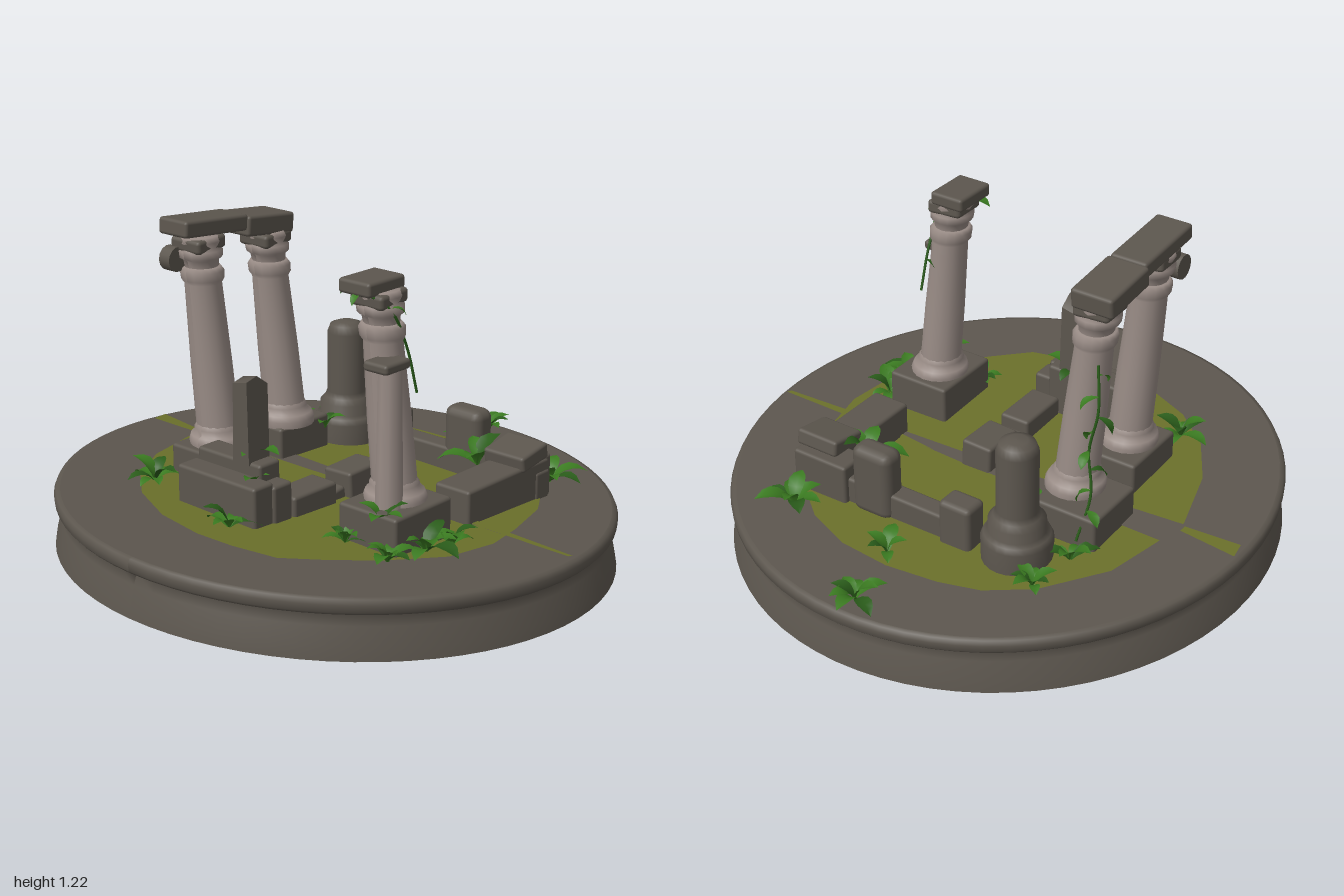
import * as THREE from 'three';
import { RoundedBoxGeometry } from 'three/addons/geometries/RoundedBoxGeometry.js';

const mat = (name, color, side = THREE.FrontSide) => {
  const m = new THREE.MeshStandardMaterial({ color, side });
  m.name = name;
  return m;
};

// height of the tilted ground at a point
const ground = (x, z) => 0.26 + 0.042 * z - 0.022 * x;

export function createModel() {
  const root = new THREE.Group();
  root.name = 'ruins';
  const stone = mat('weathered stone', 0x5c564e);
  const pale = mat('pale column stone', 0x988b85);
  const grass = mat('grass', 0x6a702a);
  const leafMat = mat('leaf green', 0x3a7a20, THREE.DoubleSide);
  const darkLeaf = mat('dark leaf green', 0x2a5c1a, THREE.DoubleSide);

  const add = (name, geo, material, parent = root) => {
    const m = new THREE.Mesh(geo, material);
    m.name = name;
    parent.add(m);
    return m;
  };

  // moves every vertex by a rule
  const bend = (geo, rule) => {
    const p = geo.attributes.position;
    const v = new THREE.Vector3();
    for (let i = 0; i < p.count; i++) {
      rule(v.fromBufferAttribute(p, i));
      p.setXYZ(i, v.x, v.y, v.z);
    }
    geo.computeVertexNormals();
    return geo;
  };
  const tilt = (g) => bend(g, (v) => { v.y += 0.042 * v.z - 0.022 * v.x; });
  const lathe = (pts, seg) =>
    new THREE.LatheGeometry(pts.map(([r, y]) => new THREE.Vector2(r, y)), seg);

  // softly worn block given by its extents
  const block = (name, [x0, x1], [y0, y1], [z0, z1], rot = [0, 0, 0], r = 0.012) => {
    const m = add(name, new RoundedBoxGeometry(x1 - x0, y1 - y0, z1 - z0, 2, r), stone);
    m.position.set((x0 + x1) / 2, (y0 + y1) / 2, (z0 + z1) / 2);
    m.rotation.set(...rot);
    return m;
  };

  // round platform: moulded side, top and grassy underside
  add('platformSide', tilt(lathe([[1, 0.05], [0.993, 0.09], [0.975, 0.16], [0.962, 0.198],
    [0.985, 0.204], [0.995, 0.215], [0.998, 0.24], [0.99, 0.257], [0.975, 0.26]], 72)), stone);
  add('platformTop', tilt(new THREE.CircleGeometry(0.976, 72).rotateX(-Math.PI / 2).translate(0, 0.26, 0)), stone);
  add('platformUnderside', tilt(new THREE.CircleGeometry(1, 72).rotateX(Math.PI / 2).translate(0, 0.05, 0)), grass);

  // flat ground patches, points given as x, z
  const patch = (name, pts, lift, material) => {
    const shape = new THREE.Shape(pts.map(([x, z]) => new THREE.Vector2(x, -z)));
    const g = new THREE.ShapeGeometry(shape).rotateX(-Math.PI / 2).translate(0, 0.26 + lift, 0);
    add(name, tilt(g), material);
  };
  patch('grassField', [[-0.71, -0.14], [-0.66, -0.35], [-0.5, -0.56], [-0.35, -0.66], [-0.2, -0.7], [0, -0.72],
    [0.2, -0.7], [0.38, -0.63], [0.53, -0.51], [0.63, -0.35], [0.69, -0.14], [0.72, 0.02], [0.69, 0.22],
    [0.57, 0.4], [0.45, 0.53], [0.32, 0.645], [0.15, 0.68], [0, 0.69], [-0.2, 0.66], [-0.4, 0.57], [-0.55, 0.44],
    [-0.66, 0.26], [-0.735, 0]], 0.003, grass);
  patch('stonePath', [[-0.74, -0.13], [-0.4, -0.12], [0.1, -0.11], [0.7, -0.07], [0.69, -0.06],
    [0.1, -0.05], [-0.4, -0.03], [-0.75, -0.01]], 0.006, stone);
  patch('leftCrack', [[-0.97, -0.075], [-0.65, -0.035], [-0.7, -0.02], [-0.96, -0.01]], 0.006, grass);
  patch('rightCrack', [[0.25, -0.1], [0.97, -0.08], [0.96, -0.065], [0.6, -0.055]], 0.008, grass);

  // leaning column from a point at its foot to a point at its top
  const column = (name, x, z, dx, dz, top) => {
    const g = new THREE.Group();
    g.name = name;
    root.add(g);
    const h = top - 0.38;
    const lean = (geo) => bend(geo, (v) => {
      const t = v.y / h;
      v.x += x + dx * t;
      v.z += z + dz * t;
      v.y += 0.38;
    });
    add('foot', lean(lathe([[0.105, 0], [0.108, 0.025], [0.1, 0.045], [0.085, 0.05], [0.085, 0.07], [0.076, 0.085]], 20)), pale, g);
    add('shaft', lean(lathe([[0.077, 0.08], [0.074, h * 0.4], [0.066, h - 0.17], [0.076, h - 0.155],
      [0.078, h - 0.125], [0.068, h - 0.11], [0.001, h - 0.108]], 16)), pale, g);
    add('neck', lean(lathe([[0.06, h - 0.115], [0.064, h - 0.085], [0.078, h - 0.075], [0.08, h - 0.05], [0.066, h - 0.04],
      [0.076, h - 0.02], [0.07, h], [0.001, h]], 16)), pale, g);
    const cap = add('capital', new RoundedBoxGeometry(0.135, 0.05, 0.145, 2, 0.014), stone, g);
    cap.position.set(x + dx, top - 0.025, z + dz);
    cap.rotation.set(0.05, 0.06, -0.04);
    return g;
  };
  column('leftFrontColumn', -0.385, 0.2, -0.055, 0.03, 1.15);
  column('leftBackColumn', -0.38, -0.14, -0.055, 0.04, 1.11);
  column('rightColumn', 0.445, 0.2, -0.055, 0.03, 1.11);

  // column plinths
  block('leftFrontPlinth', [-0.5, -0.3], [0.25, 0.39], [0.05, 0.33]);
  block('leftBackPlinth', [-0.56, -0.31], [0.25, 0.385], [-0.3, -0.04]);
  block('rightPlinth', [0.33, 0.58], [0.24, 0.395], [0.07, 0.36]);
  block('rightColumnCap', [0.3, 0.435], [1.1, 1.15], [0.15, 0.33]);

  // lintel in two pieces across the left columns
  block('lintelFront', [-0.52, -0.38], [1.15, 1.21], [0.04, 0.345], [-0.08, 0, 0]);
  block('lintelBack', [-0.53, -0.37], [1.105, 1.18], [-0.185, 0.05], [-0.1, 0, 0]);
  const scroll = add('scroll', new THREE.CylinderGeometry(0.045, 0.045, 0.05, 14).rotateZ(Math.PI / 2), stone);
  scroll.position.set(-0.49, 1.07, 0.305);

  // broken half column beside the right column
  const half = add('brokenColumn', new THREE.CylinderGeometry(0.04, 0.048, 0.48, 10), pale);
  half.position.set(0.478, 0.63, 0.275);
  block('brokenColumnCap', [0.42, 0.522], [0.865, 0.9], [0.22, 0.345]);

  // round back pillar with a wide foot
  const pillar = add('backPillar', lathe([[0.123, 0.23], [0.125, 0.33], [0.115, 0.35], [0.1, 0.36], [0.1, 0.4], [0.082, 0.42],
    [0.073, 0.44], [0.073, 0.67], [0.062, 0.7], [0.035, 0.71], [0.001, 0.712]], 24), stone);
  pillar.position.set(-0.34, 0, -0.435);

  // remains of the back wall
  block('backWall', [-0.19, 0.57], [0.22, 0.33], [-0.5, -0.42]);
  block('backWallEnd', [-0.2, -0.07], [0.22, 0.41], [-0.52, -0.42], [0, 0, 0], 0.02);
  block('backWallTall', [0.14, 0.305], [0.22, 0.49], [-0.52, -0.42], [0, 0, 0], 0.035);

  // fallen blocks
  block('rightLowWall', [0.415, 0.565], [0.22, 0.37], [-0.5, -0.04]);
  block('rightSlab', [0.4, 0.575], [0.365, 0.425], [-0.48, -0.33], [0.17, 0, 0]);
  block('rightCornerBlock', [0.33, 0.56], [0.22, 0.38], [-0.52, -0.4]);
  block('frontBlock', [-0.265, 0.105], [0.25, 0.425], [0.43, 0.525]);
  block('frontBlockBack', [-0.25, 0.05], [0.25, 0.47], [0.34, 0.44]);
  block('frontBlockEnd', [0.04, 0.115], [0.25, 0.41], [0.35, 0.44]);
  block('centreBlock', [0, 0.125], [0.23, 0.355], [-0.11, 0.065], [0.03, 0, 0.03]);
  block('centreWedge', [0, 0.1], [0.23, 0.3], [0.06, 0.15], [0.15, 0, 0]);
  block('centreFrontBlock', [0, 0.12], [0.24, 0.345], [0.13, 0.345]);

  // jagged upright shard on the front block
  const shard = new THREE.BoxGeometry(0.07, 0.3, 0.1, 1, 3, 2);
  bend(shard, (v) => {
    if (v.y > 0.14) v.y += v.z * 0.25 - Math.abs(v.z) * 0.5 + v.x * 0.2;
    v.x *= 1 - v.y * 0.6;
  });
  add('shard', shard.toNonIndexed(), stone).position.set(-0.035, 0.61, 0.395);

  // leaf: a plane pinched to a point, folded and drooping along its length
  const leafGeo = bend(new THREE.PlaneGeometry(1, 1, 2, 5).rotateX(Math.PI / 2).translate(0, 0, 0.5), (v) => {
    const t = v.z;
    v.x *= 0.48 * Math.pow(Math.sin(Math.PI * Math.min(1, 0.04 + 0.96 * Math.pow(t, 1.2))), 0.8);
    v.y = 0.95 * t - 0.85 * t * t + Math.abs(v.x) * 0.3;
  });
  let seed = 7;
  const rnd = () => (seed = (seed * 16807) % 2147483647) / 2147483647;
  const leaf = (parent, x, y, z, size, yaw, pitch, i) => {
    const m = add('leaf', leafGeo, i % 3 === 2 ? darkLeaf : leafMat, parent);
    m.position.set(x, y, z);
    m.rotation.set(pitch, yaw, 0, 'YXZ');
    m.scale.setScalar(size);
  };
  const plant = (x, z, size, count, y = ground(x, z)) => {
    const g = new THREE.Group();
    g.name = 'plant';
    root.add(g);
    for (let i = 0; i < count; i++) {
      leaf(g, x, y, z, size * (0.75 + 0.4 * rnd()), (i / count) * Math.PI * 2 + rnd() * 0.5, 0.1 - 0.75 * rnd(), i);
    }
  };
  [[-0.02, -0.91, 0.11, 8], [0.04, -0.66, 0.1, 5], [0.49, -0.61, 0.13, 8], [-0.48, -0.55, 0.09, 7],
    [-0.51, -0.37, 0.1, 6], [-0.46, 0.45, 0.11, 9], [0.03, 0.57, 0.11, 6], [0.58, 0.4, 0.1, 8],
    [0.61, 0.24, 0.13, 10], [0.63, 0.13, 0.11, 7], [0.38, 0.38, 0.1, 7],
    [-0.04, 0.37, 0.1, 4, 0.46], [0.02, 0.44, 0.08, 4, 0.39], [0.36, -0.35, 0.13, 5, 0.33],
    [-0.31, -0.28, 0.09, 4, 0.33], [0.5, 0.34, 0.1, 5, 0.36]].forEach((p) => plant(...p));

  // hanging vines with leaves along them
  const vine = (name, pts, count, size) => {
    const g = new THREE.Group();
    g.name = name;
    root.add(g);
    const curve = new THREE.CatmullRomCurve3(pts.map((p) => new THREE.Vector3(...p)));
    add('stem', new THREE.TubeGeometry(curve, 24, 0.005, 5), darkLeaf, g);
    for (let i = 0; i < count; i++) {
      const p = curve.getPoint((i + 0.5) / count);
      leaf(g, p.x, p.y, p.z, size, i * 2.4, 0.5 + 0.5 * rnd(), i);
    }
  };
  vine('leftVine', [[-0.47, 0.9, -0.16], [-0.5, 0.75, -0.2], [-0.48, 0.6, -0.22], [-0.51, 0.45, -0.25], [-0.5, 0.3, -0.32]], 9, 0.075);
  vine('rightVine', [[0.33, 1.08, 0.25], [0.4, 1.11, 0.31], [0.46, 1.06, 0.26], [0.465, 0.92, 0.18], [0.47, 0.75, 0.13]], 3, 0.06);
  leaf(root, 0.37, 1.08, 0.27, 0.1, -1.4, 0.1, 0);

  return root;
}
